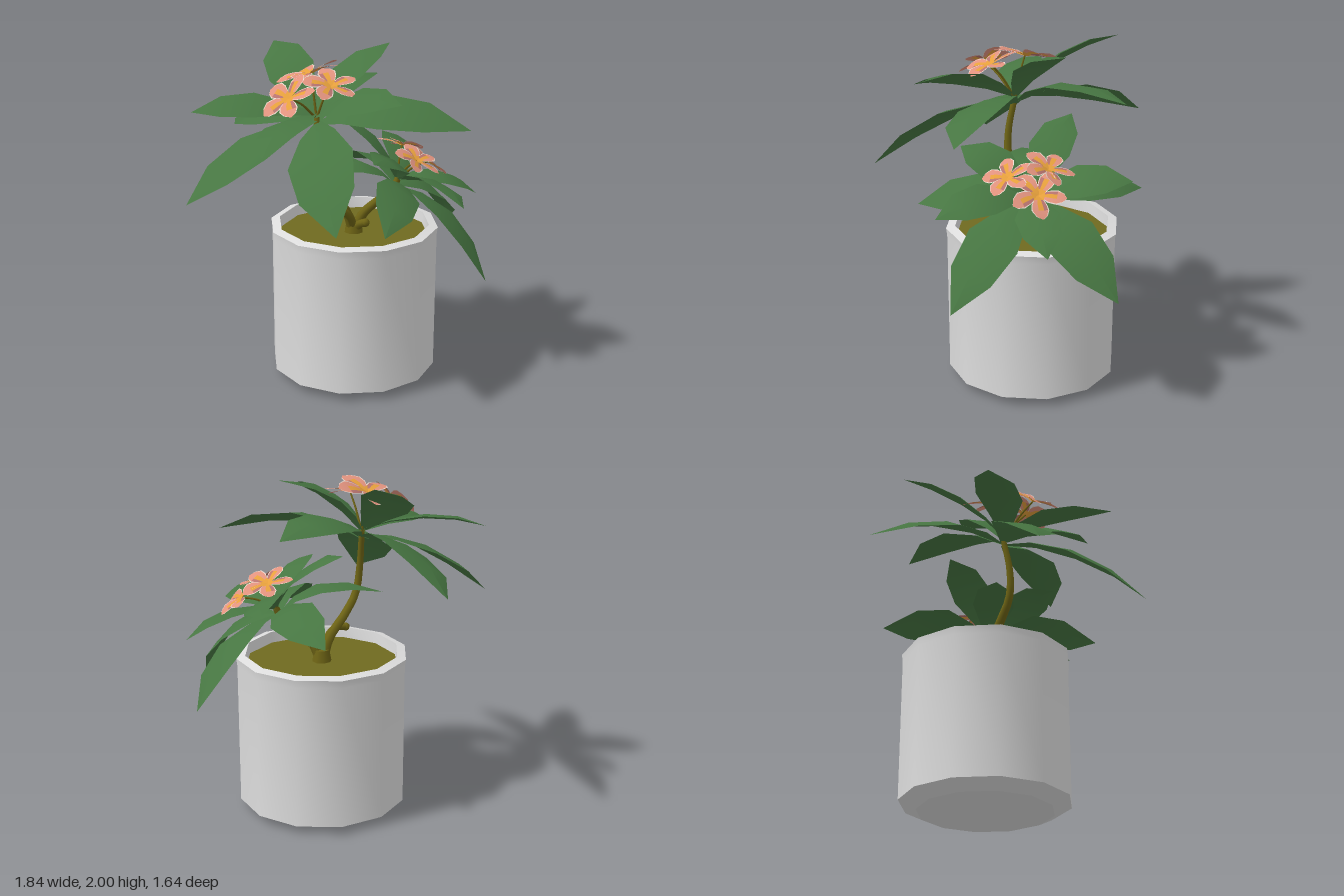
import * as THREE from 'three';
import { toCreasedNormals } from 'three/addons/utils/BufferGeometryUtils.js';

const V = (x, y, z) => new THREE.Vector3(x, y, z);
const UP = V(0, 1, 0);

function material(name, color, side = THREE.FrontSide) {
  const m = new THREE.MeshStandardMaterial({ color, side });
  m.name = name;
  return m;
}

function mesh(name, geometry, mat) {
  const m = new THREE.Mesh(geometry, mat);
  m.name = name;
  return m;
}

// Twelve-sided turned shape
function turned(profile, crease) {
  const points = profile.map(p => new THREE.Vector2(...p));
  return toCreasedNormals(new THREE.LatheGeometry(points, 12), crease);
}

// Grid surface from point(row, col); pick(row, col) gives the material index of a cell
function ribbon(rows, cols, point, pick = () => 0) {
  const positions = [], cells = [], index = [];
  for (let i = 0; i < rows; i++)
    for (let j = 0; j < cols; j++) positions.push(...point(i, j).toArray());
  for (let i = 0; i < rows - 1; i++)
    for (let j = 0; j < cols - 1; j++) {
      const a = i * cols + j, c = a + cols;
      cells.push({ m: pick(i, j), tris: [a, a + 1, c, a + 1, c + 1, c] });
    }
  const g = new THREE.BufferGeometry();
  cells.sort((p, q) => p.m - q.m).forEach(({ m, tris }) => {
    g.addGroup(index.length, 6, m);
    index.push(...tris);
  });
  g.setAttribute('position', new THREE.Float32BufferAttribute(positions, 3));
  g.setIndex(index);
  g.computeVertexNormals();
  return g;
}

// Tube that narrows from r0 to r1 along its path
function limb(points, r0, r1, sides = 8) {
  const curve = new THREE.CatmullRomCurve3(points.map(p => V(...p)));
  const n = 14, g = new THREE.TubeGeometry(curve, n, r0, sides);
  const pos = g.attributes.position, p = V(0, 0, 0);
  for (let i = 0; i < pos.count; i++) {
    const t = Math.floor(i / (sides + 1)) / n;
    const c = curve.getPointAt(t);
    p.fromBufferAttribute(pos, i).sub(c).multiplyScalar(1 + (r1 / r0 - 1) * t).add(c);
    pos.setXYZ(i, p.x, p.y, p.z);
  }
  return g;
}

// Angular leaf from hub to tip, arched along the leaning axis of its crown
const LEAF_T = [0, 0.2, 0.46, 0.74, 1];
const LEAF_W = [0.1, 0.55, 1, 0.83, 0];
function leafGeometry(hub, tip, axis) {
  const reach = tip.clone().sub(hub);
  const drop = -reach.dot(axis);
  const base = hub.clone().addScaledVector(axis, -drop * 0.1);
  const bend = hub.clone().lerp(tip, 0.5).addScaledVector(axis, 0.18 + 0.25 * Math.max(0, drop));
  const curve = new THREE.QuadraticBezierCurve3(base, bend, tip);
  const half = Math.max(0.125, 0.2 * reach.length());
  const side = reach.cross(axis).normalize();
  return ribbon(LEAF_T.length, 3, (i, j) => {
    const w = half * LEAF_W[i];
    const p = curve.getPoint(LEAF_T[i]).addScaledVector(side, (j - 1) * w);
    return j === 1 ? p : p.addScaledVector(axis, -0.15 * w);
  });
}

// Cupped petal, lying along +x, with pale edges and an orange throat
const PETAL_T = [0, 0.22, 0.42, 0.66, 0.88, 1];
const PETAL_W = [0.04, 0.18, 0.27, 0.31, 0.2, 0.02];
const PETAL_S = [-1, -0.88, -0.42, 0.2, 0.88, 1];
function petalGeometry() {
  return ribbon(PETAL_T.length, PETAL_S.length, (i, j) => {
    const t = PETAL_T[i], s = PETAL_S[j] * PETAL_W[i];
    return V(t, 0.36 * t - 0.3 * t * t + 0.18 * s, s + 0.18 * t * (1 - t));
  }, (i, j) => {
    if (i === 0) return 2;
    if (j === 0 || j === 4) return 3;
    if (j === 2 && i < 3) return 2;
    return j === 1 && i < 3 ? 1 : 0;
  });
}

export function createModel() {
  const model = new THREE.Group();
  model.name = 'pottedFloweringPlant';

  const potMat = material('potGrey', 0xdedede, THREE.DoubleSide);
  const soilMat = material('soilOlive', 0x6f6a20);
  const stemMat = material('stemOlive', 0x6e6415, THREE.DoubleSide);
  const leafMat = material('leafGreen', 0x477642, THREE.DoubleSide);
  const petalMats = [
    material('petalPink', 0xe2937f, THREE.DoubleSide),
    material('petalRose', 0xb87470, THREE.DoubleSide),
    material('petalOrange', 0xe6a03c, THREE.DoubleSide),
    material('petalCream', 0xe6d6cc, THREE.DoubleSide),
  ];

  // Pot with a bevelled foot, a broad rim and soil
  const pot = new THREE.Group();
  pot.name = 'pot';
  pot.position.set(0.13, 0, -0.06);
  const soil = mesh('soil', new THREE.CircleGeometry(0.45, 12).rotateX(-Math.PI / 2), soilMat);
  soil.position.y = 0.89;
  pot.add(
    mesh('potFoot', turned([[0, 0], [0.4, 0], [0.502, 0.05]], 0.3), potMat),
    mesh('potWall', turned([[0.502, 0.05], [0.502, 0.9], [0.508, 0.945]], 0.62), potMat),
    mesh('potRim', turned([[0.508, 0.945], [0.455, 0.957]], 0.62), potMat),
    mesh('potInside', turned([[0.455, 0.957], [0.448, 0.87]], 0.62), potMat),
    soil,
  );
  model.add(pot);

  // Stems and cut stubs
  const limbs = [
    ['tallStem', [[0.13, 0.87, -0.06], [0.08, 1.02, -0.04], [-0.02, 1.14, 0], [-0.1, 1.26, 0.04],
      [-0.125, 1.43, 0.04], [-0.125, 1.64, 0]], 0.032, 0.017],
    ['shortStem', [[0.13, 0.87, -0.06], [0.18, 1, -0.04], [0.27, 1.09, -0.01], [0.36, 1.16, 0], [0.39, 1.22, 0]], 0.034, 0.019],
    ['curledStub', [[0.12, 0.93, -0.05], [0.08, 1.01, 0], [0.02, 1.06, 0.03], [-0.04, 1.055, 0.04]], 0.026, 0.022],
    ['frontStub', [[0.13, 0.9, -0.06], [0.15, 0.95, -0.01], [0.17, 0.97, 0.03]], 0.028, 0.024],
  ];
  for (const [name, points, r0, r1] of limbs) {
    model.add(mesh(name, limb(points, r0, r1), stemMat));
    if (name.endsWith('Stub')) {
      const end = mesh('stubEnd', new THREE.SphereGeometry(r1 * 1.1, 8, 6), stemMat);
      end.position.set(...points.at(-1));
      model.add(end);
    }
  }
  const knot = mesh('stemBase', new THREE.CylinderGeometry(0.045, 0.06, 0.08, 8), stemMat);
  knot.position.set(0.13, 0.92, -0.06);
  model.add(knot);

  // Leaning axis, leaf tips and flowers [centre, facing, radius, spin] of each crown
  const crowns = [
    { name: 'tallCrown', hub: V(-0.125, 1.63, 0), axis: V(-0.45, 1, 0.14).normalize(),
      leaves: [[-0.38, 1.45, -0.82], [-0.18, 1.97, -0.62], [0.46, 1.74, -0.52], [0.4, 2, -0.18],
        [0.64, 1.6, 0.45], [-0.62, 1.6, 0.55], [0.15, 1.825, 0.595], [-0.31, 1.21, 0.825],
        [-0.92, 1.22, 0.06], [-0.81, 1.68, -0.2]],
      flowers: [[[-0.14, 1.88, -0.06], [-0.25, 0.95, -0.2], 0.2, 0.31],
        [[-0.335, 1.8, 0.145], [-0.6, 0.8, 0.25], 0.17, 0.6],
        [[-0.09, 1.85, 0.145], [0, 0.9, 0.35], 0.165, 0.3]] },
    { name: 'shortCrown', hub: V(0.38, 1.2, 0), axis: V(0.5, 1, 0.12).normalize(),
      leaves: [[0.915, 0.77, -0.39], [0.915, 1.06, 0], [0.745, 0.69, 0.5], [0.56, 1.18, 0.55],
        [0.06, 1.08, 0.6], [0.57, 1.335, -0.54], [0.25, 1.17, -0.68], [0.06, 1.58, -0.3],
        [-0.24, 1.285, -0.06], [0.09, 1.43, 0.35]],
      flowers: [[[0.45, 1.39, -0.09], [0.3, 0.92, -0.25], 0.155, 0.2],
        [[0.45, 1.355, 0.135], [0.3, 0.87, 0.35], 0.15, 0.5],
        [[0.585, 1.295, -0.01], [0.65, 0.77, 0.1], 0.155, 0]] },
  ];
  const petalGeo = petalGeometry();
  for (const { name, hub, axis, leaves, flowers } of crowns) {
    const crown = new THREE.Group();
    crown.name = name;
    for (const tip of leaves)
      crown.add(mesh('leaf', leafGeometry(hub, V(...tip), axis), leafMat));

    for (const [centre, facing, radius, spin] of flowers) {
      const flower = new THREE.Group();
      flower.name = 'flower';
      flower.position.set(...centre);
      flower.quaternion.setFromUnitVectors(UP, V(...facing).normalize());
      for (let k = 0; k < 5; k++) {
        const petal = mesh('petal', petalGeo, petalMats);
        petal.scale.setScalar(radius);
        petal.rotation.y = spin + k * Math.PI * 0.4;
        flower.add(petal);
      }
      // Thin stalk from the crown to the flower
      const mid = hub.clone().lerp(flower.position, 0.55);
      mid.y += 0.02;
      const stalk = limb([hub.toArray(), mid.toArray(), centre], 0.008, 0.005, 5);
      crown.add(flower, mesh('flowerStalk', stalk, stemMat));
    }
    model.add(crown);
  }
  return model;
}
